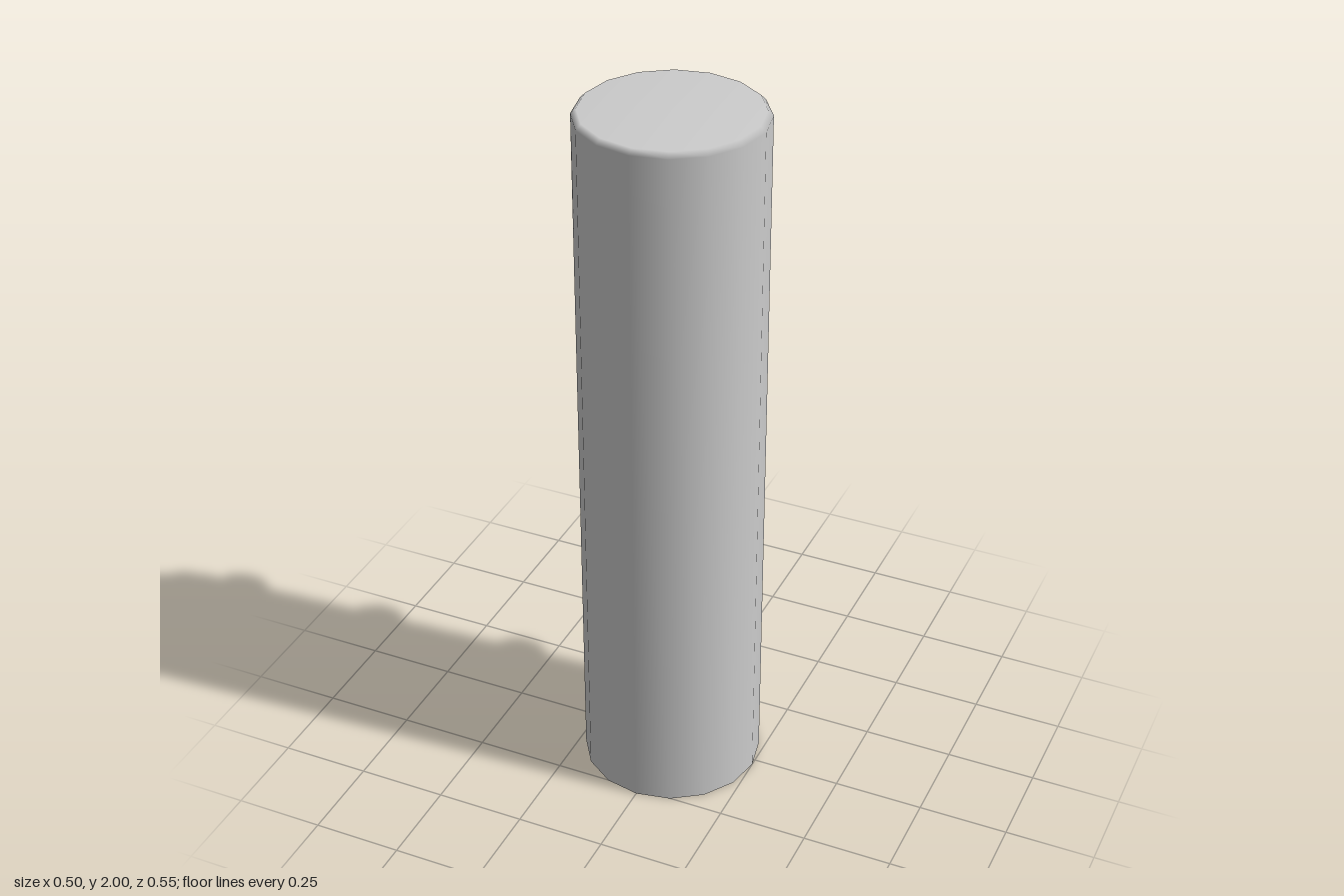
import * as THREE from 'three';
import { mergeVertices } from 'three/addons/utils/BufferGeometryUtils.js';

const RADIUS = 0.25;
const HEIGHT = 2;
const BEVEL = 0.014;
const CENTRE_Z = 0.02;

// Weld a geometry so that its shading is smooth across all edges
function smooth(geometry) {
  geometry.deleteAttribute('uv');
  geometry.deleteAttribute('normal');
  const welded = mergeVertices(geometry, 1e-4);
  welded.computeVertexNormals();
  return welded;
}

export function createModel() {
  const model = new THREE.Group();
  model.name = 'post';
  const material = new THREE.MeshStandardMaterial({ color: 0xcccccc, side: THREE.DoubleSide });

  // Sixteen-sided post: open at the bottom, bevelled and closed at the top
  const profile = [
    [RADIUS, 0],
    [RADIUS, HEIGHT - BEVEL],
    [RADIUS - BEVEL, HEIGHT],
    [0, HEIGHT],
  ].map(([x, y]) => new THREE.Vector2(x, y));
  const shaft = new THREE.Mesh(new THREE.LatheGeometry(profile, 16), material);
  shaft.name = 'shaft';
  shaft.position.z = CENTRE_Z;
  model.add(shaft);

  // Four hexagonal pegs up the back, lying across the post with a corner outwards
  const pegGeometry = new THREE.CylinderGeometry(0.063, 0.063, 0.063, 6);
  pegGeometry.rotateZ(Math.PI / 2);
  const smoothPeg = smooth(pegGeometry);
  for (let i = 0; i < 4; i++) {
    const peg = new THREE.Mesh(smoothPeg, material);
    peg.name = `peg${i + 1}`;
    peg.position.set(0, 0.145 + i * 0.57, -0.212);
    model.add(peg);
  }

  return model;
}
